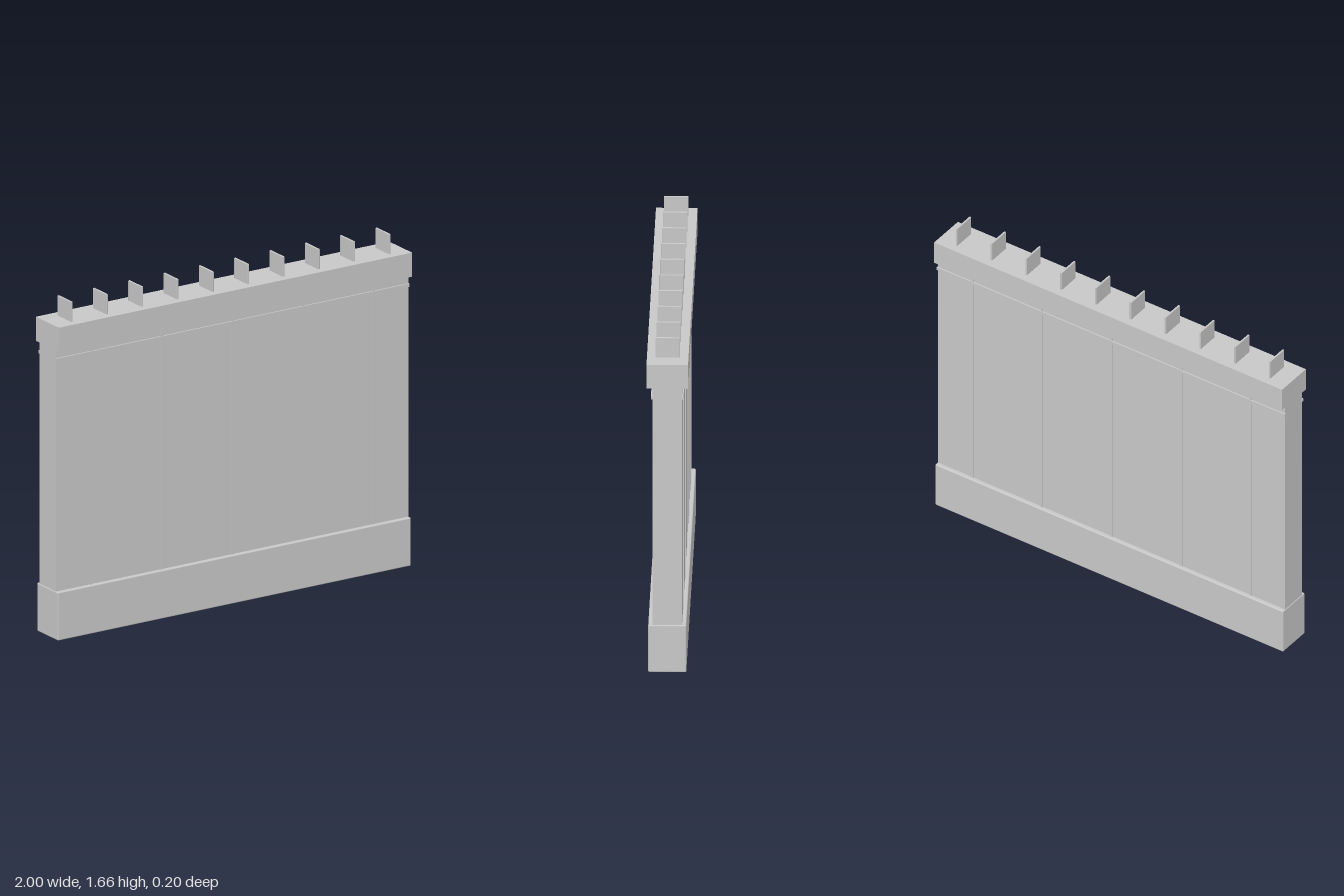
import * as THREE from 'three';
import { RoundedBoxGeometry } from 'three/addons/geometries/RoundedBoxGeometry.js';

export function createModel() {
  const model = new THREE.Group();
  model.name = 'wallSegment';
  const concrete = new THREE.MeshStandardMaterial({ color: 0xc8c8c8 });
  concrete.name = 'light grey concrete';

  function add(name, geometry, x, y, z) {
    const mesh = new THREE.Mesh(geometry, concrete);
    mesh.name = name;
    mesh.position.set(x, y, z);
    model.add(mesh);
    return mesh;
  }

  // Footing, wall slab and overhanging coping
  add('base', new RoundedBoxGeometry(2, 0.24, 0.18, 2, 0.006), 0, 0.12, 0);
  add('wall', new THREE.BoxGeometry(1.994, 1.22, 0.14), 0, 0.84, 0);
  add('coping', new THREE.BoxGeometry(2, 0.12, 0.196), 0, 1.5, 0);

  // Raised joint strips and a horizontal rail on both faces
  const strip = new THREE.BoxGeometry(0.014, 1.2, 0.008);
  const rail = new THREE.BoxGeometry(2, 0.016, 0.012);
  for (const side of [1, -1]) {
    for (let i = -2; i <= 2; i++) add('jointStrip', strip, i * 0.4, 0.84, side * 0.07);
    add('rail', rail, 0, 1.392, side * 0.071);
  }

  // Row of upright fins along the coping
  const fin = new RoundedBoxGeometry(0.01, 0.104, 0.116, 1, 0.003);
  for (let i = 0; i < 10; i++) add('fin', fin, -0.9 + i * 0.2, 1.608, 0);

  return model;
}
